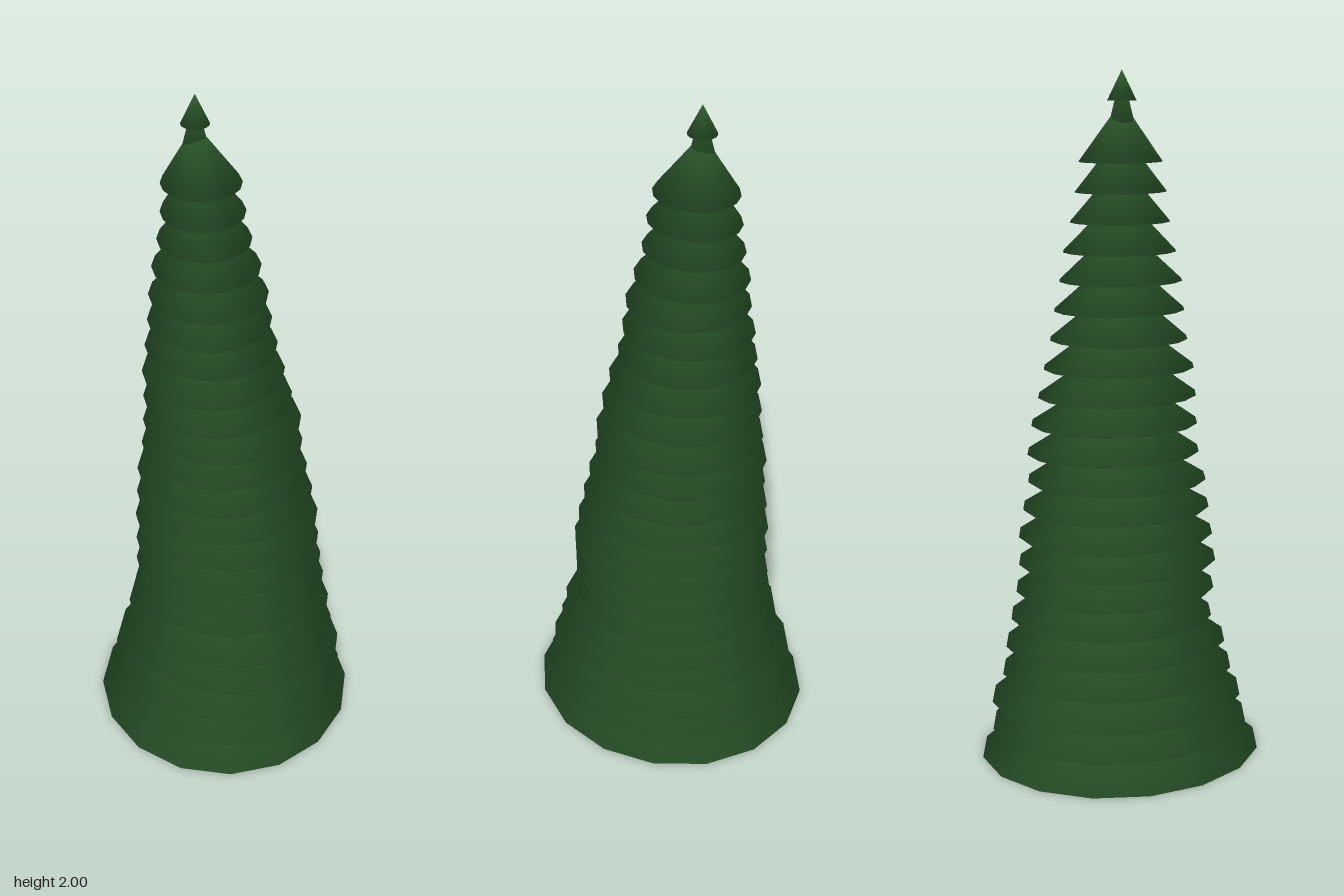
import * as THREE from 'three';

const STEP = 2 / 24;
const SIDES = 16;

// Each row is one tier, from the ground up: centre x, centre z, half width in x, half width in z
const TIERS = [
  [0, 0, 0.393, 0.43], [0.005, 0, 0.362, 0.394], [0.01, -0.008, 0.353, 0.386],
  [0.013, -0.004, 0.325, 0.354], [0.015, -0.008, 0.312, 0.338], [0.018, -0.022, 0.292, 0.305],
  [0.014, -0.011, 0.284, 0.302], [0.01, -0.005, 0.278, 0.302], [0.008, -0.013, 0.276, 0.294],
  [0.002, -0.016, 0.264, 0.281], [-0.005, -0.018, 0.253, 0.267], [-0.005, -0.031, 0.238, 0.259],
  [-0.005, -0.027, 0.232, 0.249], [-0.018, -0.026, 0.216, 0.238], [-0.03, -0.029, 0.206, 0.224],
  [-0.036, -0.034, 0.19, 0.203], [-0.04, -0.035, 0.177, 0.193], [-0.043, -0.032, 0.169, 0.18],
  [-0.048, -0.04, 0.153, 0.166], [-0.053, -0.042, 0.132, 0.148], [-0.056, -0.042, 0.118, 0.137],
  [-0.06, -0.045, 0.112, 0.123], [-0.075, -0.052, 0.04, 0.042], [-0.075, -0.052, 0.04, 0.042],
];

// Twigs lying on a tier: tier index, then the position of the outer end
const TWIGS = [
  [4, 0.01, 0.37, 0.24], [4, 0.15, 0.39, 0.16], [4, 0.18, 0.41, -0.075], [3, 0.2, 0.325, 0.04],
  [5, -0.09, 0.49, 0.11], [5, 0.17, 0.497, 0], [6, 0.19, 0.575, 0.02], [15, 0.07, 1.32, 0],
];

// A tier's tip sits two steps up, on the trunk line
function tierTip(i) {
  const [x, z] = TIERS[Math.min(i + 2, TIERS.length - 1)];
  return new THREE.Vector3(x, Math.min((i + 2) * STEP, 2), z);
}

// Closed leaning cone whose side and underside share softly blended normals at the rim
function tierGeometry(i) {
  const [cx, cz, rx, rz] = TIERS[i];
  const tip = tierTip(i);
  const height = tip.y - i * STEP;
  const positions = [];
  const normals = [];
  const index = [];
  for (let k = 0; k < SIDES; k++) {
    const a = (k / SIDES) * Math.PI * 2;
    const s = Math.sin(a), c = Math.cos(a);
    positions.push(cx + rx * s, i * STEP, cz + rz * c);
    const n = new THREE.Vector3(s / rx, 1 / height, c / rz).normalize();
    n.y -= 1;
    normals.push(...n.normalize().toArray());
    index.push(k, (k + 1) % SIDES, SIDES);
  }
  positions.push(...tip.toArray());
  normals.push(0, 1, 0);

  // Flat underside, filled in strips from one side to the other
  for (let k = 0; k < SIDES / 2; k++) {
    const l = (SIDES - k) % SIDES;
    if (k > 0) index.push(k, l, k + 1);
    if (k < SIDES / 2 - 1) index.push(l, l === 0 ? SIDES - 1 : l - 1, k + 1);
  }

  const geometry = new THREE.BufferGeometry();
  geometry.setAttribute('position', new THREE.Float32BufferAttribute(positions, 3));
  geometry.setAttribute('normal', new THREE.Float32BufferAttribute(normals, 3));
  geometry.setIndex(index);
  return geometry;
}

// Thin tapered rod from the trunk line to its outer end
function twigMesh([tier, x, y, z], material) {
  const start = tierTip(tier);
  const end = new THREE.Vector3(x, y, z);
  const along = end.clone().sub(start);
  const twig = new THREE.Mesh(new THREE.CylinderGeometry(0.003, 0.006, along.length(), 6), material);
  twig.position.copy(start).add(end).multiplyScalar(0.5);
  twig.quaternion.setFromUnitVectors(new THREE.Vector3(0, 1, 0), along.normalize());
  return twig;
}

export function createModel() {
  const tree = new THREE.Group();
  tree.name = 'coniferTree';
  const foliage = new THREE.MeshStandardMaterial({ color: 0x2d5a2d });
  foliage.name = 'foliageGreen';
  const bark = new THREE.MeshStandardMaterial({ color: 0x4a3320 });
  bark.name = 'barkBrown';

  // Stacked skirts of foliage, with two small cones forming the tip
  TIERS.forEach((_, i) => {
    const tier = new THREE.Mesh(tierGeometry(i), foliage);
    tier.name = i < 22 ? `foliageTier${i + 1}` : `treeTip${i - 21}`;
    tree.add(tier);
  });

  // Twigs peeping out between the skirts
  TWIGS.forEach((row, i) => {
    const twig = twigMesh(row, bark);
    twig.name = `twig${i + 1}`;
    tree.add(twig);
  });
  return tree;
}
